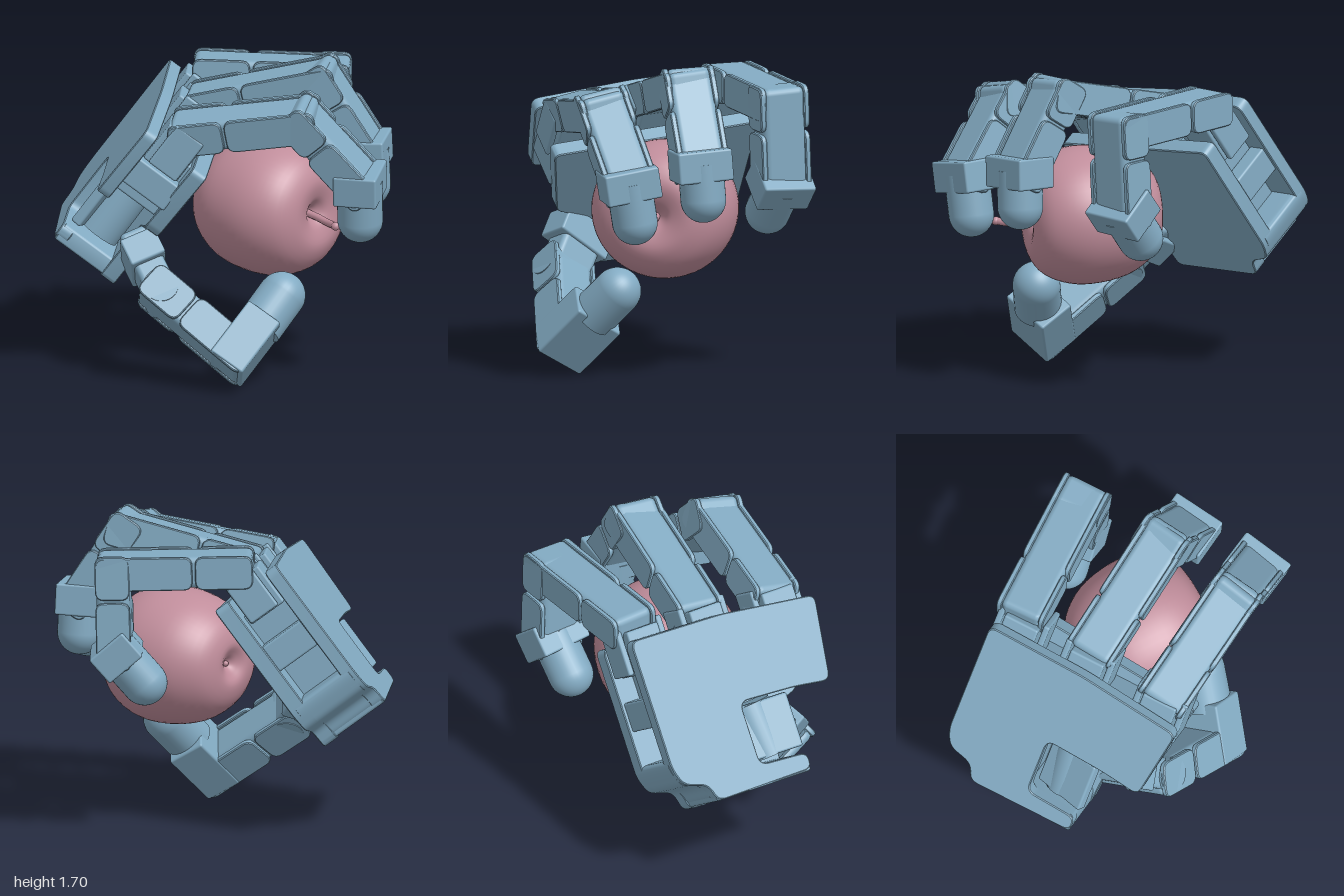
import * as THREE from 'three';
import { RoundedBoxGeometry } from 'three/addons/geometries/RoundedBoxGeometry.js';
import { toCreasedNormals } from 'three/addons/utils/BufferGeometryUtils.js';

const V = (x, y, z) => new THREE.Vector3(x, y, z);
const metal = new THREE.MeshStandardMaterial({ color: 0x83abc3 });
const skin = new THREE.MeshStandardMaterial({ color: 0xc08d9b });
// Palm axes: across towards the little finger, out of the palm, wrist to knuckles
const U = V(0.83, 0.04, -0.55).normalize();
const W = U.clone().cross(V(0.30, 0.80, 0.52)).normalize();
const UP = W.clone().cross(U);

function add(parent, name, geo, x = 0, y = 0, z = 0, mat = metal) {
  const m = new THREE.Mesh(geo, mat);
  m.name = name;
  m.position.set(x, y, z);
  parent.add(m);
  return m;
}
const box = (w, h, d, r = 0.012) => new RoundedBoxGeometry(w, h, d, 2, r);

// Slab with a rounded outline, thickness along z
function slab(points, depth, radius, bevel = 0.005) {
  const s = new THREE.Shape();
  const n = points.length;
  points.forEach(([x, y], i) => {
    const p = new THREE.Vector2(x, y);
    const toward = (q) => {
      const d = new THREE.Vector2(q[0], q[1]).sub(p);
      return p.clone().addScaledVector(d.clone().normalize(), Math.min(radius, d.length() * 0.45));
    };
    const a = toward(points[(i + n - 1) % n]), b = toward(points[(i + 1) % n]);
    if (i) s.lineTo(a.x, a.y); else s.moveTo(a.x, a.y);
    s.quadraticCurveTo(x, y, b.x, b.y);
  });
  s.closePath();
  const g = new THREE.ExtrudeGeometry(s, {
    depth: depth - 2 * bevel, bevelThickness: bevel, bevelSize: bevel, bevelOffset: -bevel, bevelSegments: 1, curveSegments: 6,
  });
  g.translate(0, 0, bevel);
  return toCreasedNormals(g, 0.5);
}

// Group standing at a with its y axis towards b and its x axis along the hinge
function bone(parent, name, a, b, hinge) {
  const g = new THREE.Group();
  const y = b.clone().sub(a).normalize();
  const x = hinge.clone().addScaledVector(y, -hinge.dot(y)).normalize();
  g.name = name;
  g.quaternion.setFromRotationMatrix(new THREE.Matrix4().makeBasis(x, y, x.clone().cross(y)));
  g.position.copy(a);
  parent.add(g);
  return [g, a.distanceTo(b)];
}

// Finger bone: core between round-cornered cheek plates
function phalanx(parent, name, a, b, hinge, width, thick) {
  const [g, len] = bone(parent, name, a, b, hinge);
  const e = thick / 2;
  const h = len * 0.33;
  add(g, 'core', box(width - 0.04, len + thick - 0.01, thick - 0.008, 0.035), 0, len / 2, 0);
  for (const s of [-1, 1]) {
    for (const [part, y0, y1] of [['lowerCheek', -e, h], ['upperCheek', h + 0.015, len + e]]) {
      const plate = slab([[-e, y0], [e, y0], [e, y1], [-e, y1]], 0.03, 0.05);
      add(g, part, plate, s * (width / 2 - 0.015) - 0.015, 0, 0).rotation.y = Math.PI / 2;
    }
  }
}

// Round finger pad set in a square cup
function fingertip(parent, a, b, hinge, r = 0.122) {
  const [g, len] = bone(parent, 'fingertip', a, b, hinge);
  const start = 0.1;
  add(g, 'cup', box(0.3, 0.17, 0.235), 0, 0.01, 0);
  add(g, 'pad', new THREE.CylinderGeometry(r, r, len - start + 0.1, 32), 0, (len + start - 0.1) / 2, 0);
  add(g, 'padEnd', new THREE.SphereGeometry(r, 32, 16, 0, Math.PI * 2, 0, Math.PI / 2), 0, len, 0);
}

function buildPalm(root) {
  const palm = new THREE.Group();
  palm.name = 'palm';
  palm.position.set(-0.54, 0.733, -0.765);
  palm.quaternion.setFromRotationMatrix(new THREE.Matrix4().makeBasis(U, UP, W));
  root.add(palm);
  // Back shell with the thumb notch
  add(palm, 'backPlate', slab([[-0.22, -0.01], [0.38, -0.01], [0.41, 0.09], [0.55, 0.13], [0.59, 0.23], [0.59, 0.95], [0.02, 0.93],
    [-0.56, 0.86], [-0.49, 0.40], [-0.27, 0.43], [0.07, 0.45], [0.07, 0.10], [-0.22, 0.08]], 0.075, 0.05), 0, 0, -0.015);
  // Inner face of the palm
  add(palm, 'palmPlate', slab([[-0.22, -0.035], [0.38, -0.02], [0.41, 0.09], [0.55, 0.13], [0.59, 0.23], [0.59, 0.94],
    [-0.56, 0.84], [-0.46, 0.40], [-0.25, 0.33]], 0.09, 0.04), 0, 0, 0.31);
  // Solid wrist and heel
  add(palm, 'wristBlock', slab([[-0.22, -0.02], [0.38, -0.01], [0.39, 0.12], [-0.21, 0.08]], 0.38, 0.02), 0, 0, -0.005);
  add(palm, 'heelBlock', slab([[0.09, 0.01], [0.38, 0], [0.41, 0.09], [0.55, 0.13], [0.59, 0.23], [0.59, 0.28], [0.09, 0.28]],
    0.36, 0.04), 0, 0, 0.01);
  // Inner frame and side struts
  add(palm, 'frame', box(0.9, 0.34, 0.26), 0.02, 0.64, 0.19);
  add(palm, 'lowerFrame', box(0.3, 0.24, 0.26), 0.27, 0.38, 0.19);
  add(palm, 'sideStrut', box(0.10, 0.16, 0.28), 0.52, 0.55, 0.19);
  add(palm, 'sideStrut', box(0.10, 0.16, 0.28), -0.46, 0.62, 0.19);
  // Knuckle brackets
  [[-0.40, 0.87], [0.05, 0.91], [0.45, 0.92]].forEach(([x, y]) => {
    add(palm, 'knuckleBlock', box(0.20, 0.24, 0.22), x, y - 0.04, 0.18);
    for (const s of [-1, 1]) add(palm, 'knuckleEar', box(0.035, 0.26, 0.18), x + s * 0.13, y - 0.02, 0.19);
  });
  // Thumb turning drum seen through the notch
  add(palm, 'thumbDrum', new THREE.CylinderGeometry(0.12, 0.12, 0.30, 32), -0.08, 0.27, 0.17).rotation.z = -0.1;
  add(palm, 'thumbRamp', box(0.30, 0.30, 0.06), -0.09, 0.27, 0.08).rotation.y = -0.35;
}

function buildFingers(root) {
  // Hinge direction, then knuckle, middle joint, end joint and tip
  const fingers = {
    indexFinger: [V(0.9, 0.22, -0.43), V(-0.50, 1.37, 0.07), V(-0.22, 1.46, 0.62), V(-0.03, 1.12, 0.86), V(0, 0.90, 0.84)],
    middleFinger: [V(0.89, 0.1, -0.46), V(-0.09, 1.42, -0.13), V(0.20, 1.57, 0.43), V(0.315, 1.20, 0.64), V(0.33, 1.00, 0.64)],
    littleFinger: [V(0.825, 0, -0.565), V(0.26, 1.485, -0.37), V(0.64, 1.465, 0.17), V(0.65, 1.03, 0.15), V(0.55, 0.85, 0.03)],
  };
  for (const [name, [hinge, a, b, c, d]] of Object.entries(fingers)) {
    const f = new THREE.Group();
    f.name = name;
    root.add(f);
    phalanx(f, 'lowerBone', a, b, hinge, 0.275, 0.18);
    phalanx(f, 'middleBone', b, c, hinge, 0.28, 0.185);
    fingertip(f, c, d, hinge);
  }
}

function buildThumb(root) {
  const thumb = new THREE.Group();
  thumb.name = 'thumb';
  root.add(thumb);
  const a = V(-0.52, 0.70, -0.26), b = V(-0.58, 0.47, -0.05), c = V(-0.47, 0.17, 0.36);
  const d = V(-0.33, 0.31, 0.41), e = V(-0.18, 0.46, 0.45);
  const hinge = c.clone().sub(b).cross(e.clone().sub(c)).normalize();
  const [base, len] = bone(thumb, 'thumbBase', a, b, hinge);
  add(base, 'baseBlock', box(0.24, len + 0.10, 0.17, 0.03), 0, len / 2, 0);
  add(base, 'baseBracket', box(0.32, 0.16, 0.2), 0, len * 0.25, 0);
  add(base, 'baseJoint', new THREE.CylinderGeometry(0.095, 0.095, 0.27, 24), 0, len, 0).rotation.z = Math.PI / 2;
  phalanx(thumb, 'lowerBone', b, c, hinge, 0.28, 0.2);
  const [tip] = bone(thumb, 'thumbTip', c, e, hinge);
  add(tip, 'cup', box(0.29, 0.35, 0.21), 0, 0.085, 0);
  const [pad, padLen] = bone(thumb, 'thumbPad', d, e, hinge);
  add(pad, 'pad', new THREE.CylinderGeometry(0.128, 0.128, padLen, 32), 0, padLen / 2, 0);
  add(pad, 'padEnd', new THREE.SphereGeometry(0.128, 32, 16, 0, Math.PI * 2, 0, Math.PI / 2), 0, padLen, 0);
}

function buildApple(root) {
  const apple = new THREE.Group();
  apple.name = 'apple';
  apple.position.set(0.035, 0.88, 0.18);
  apple.rotation.x = Math.PI / 2;
  root.add(apple);
  // Flesh turned around the stem axis, dimpled at both ends
  const profile = new THREE.SplineCurve([[0, -0.29], [0.02, -0.295], [0.06, -0.325], [0.13, -0.35], [0.25, -0.30], [0.35, -0.16],
    [0.39, 0.03], [0.375, 0.18], [0.31, 0.30], [0.20, 0.36], [0.10, 0.345], [0.05, 0.31], [0.02, 0.28], [0, 0.27]]
    .map(([x, y]) => new THREE.Vector2(x, y)));
  const pts = profile.getPoints(52).map((p) => new THREE.Vector2(Math.max(p.x, 0), p.y));
  add(apple, 'flesh', new THREE.LatheGeometry(pts, 56), 0, 0, 0, skin).scale.set(1, 1, 0.95);
  add(apple, 'blossomEnd', new THREE.SphereGeometry(0.016, 12, 8), 0, -0.295, 0, skin);
  // Curved stem
  const path = new THREE.CatmullRomCurve3([V(0, 0.24, 0), V(0, 0.34, 0.02), V(-0.02, 0.43, 0.035), V(-0.07, 0.52, 0.03)]);
  add(apple, 'stem', new THREE.TubeGeometry(path, 20, 0.02, 10), 0, 0, 0, skin);
  add(apple, 'stemEnd', new THREE.SphereGeometry(0.024, 12, 8), -0.07, 0.52, 0.03, skin);
}

export function createModel() {
  const root = new THREE.Group();
  root.name = 'robotHandWithApple';
  buildPalm(root);
  buildFingers(root);
  buildThumb(root);
  buildApple(root);
  return root;
}
